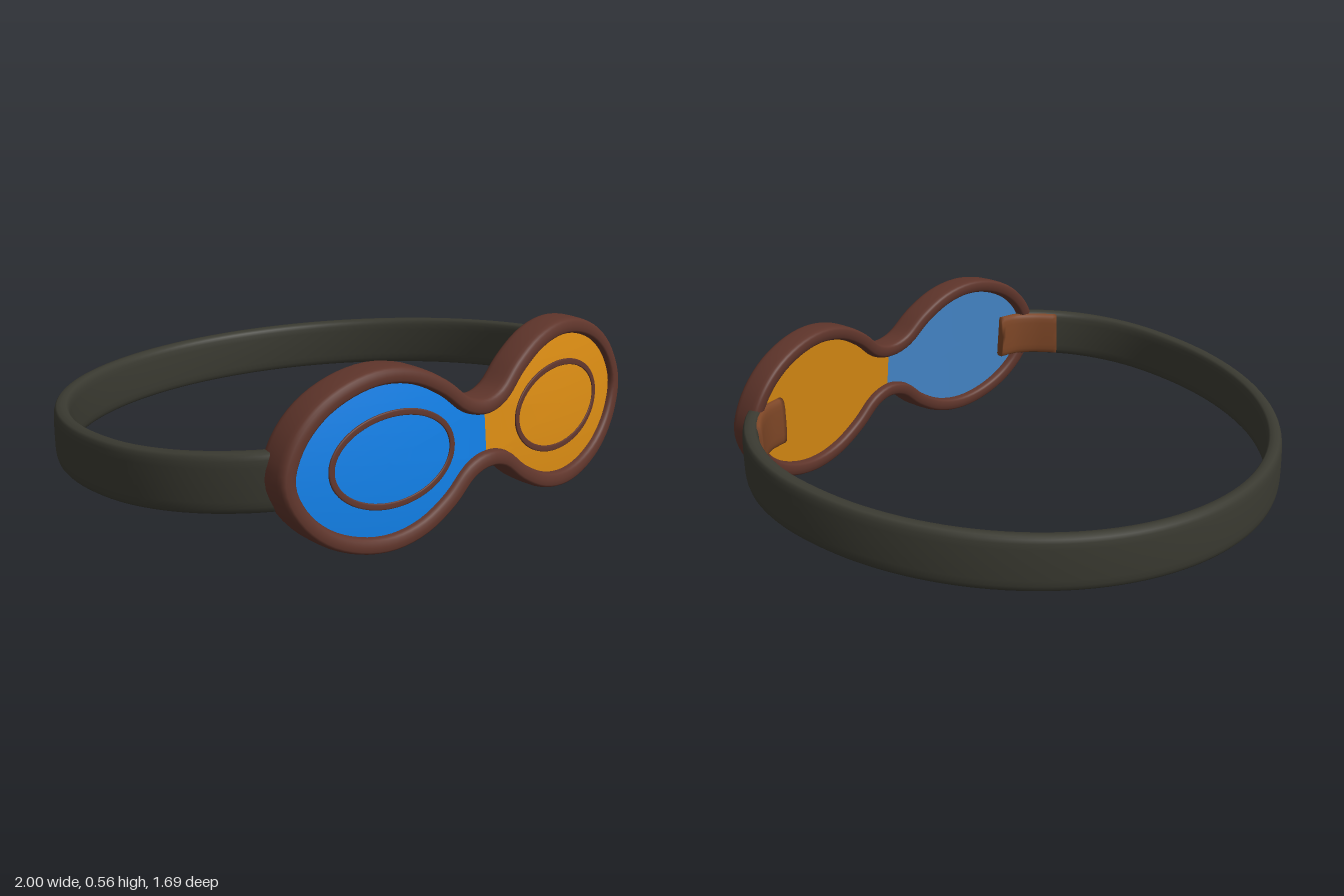
import * as THREE from 'three';

const CY = 0.28; // height of the lens centres
const V = (x, y, z = 0) => new THREE.Vector3(x, y, z);
const mat = (name, color, side = THREE.FrontSide) => {
  const m = new THREE.MeshStandardMaterial({ color, side });
  m.name = name;
  return m;
};

// The mask is wrapped towards the temples and leans back at the top
const faceZ = (x, y) => 0.78 - 0.04 * Math.abs(x) - 0.09 * x * x - 0.11 * (y - CY);
// Slight outward bulge of each lens front
const frontOffset = (x, y) =>
  0.03 + 0.015 * Math.max(0, 1 - ((Math.abs(x) - 0.4) / 0.35) ** 2 - ((y - CY) / 0.25) ** 2);
const backOffset = () => -0.025;

// Rounded-rectangle cross-section of half sizes a, b
function section(a, b, n = 20, power = 0.55) {
  return Array.from({ length: n }, (_, i) => {
    const t = (i / n) * Math.PI * 2, c = Math.cos(t), s = Math.sin(t);
    return [a * Math.sign(c) * Math.abs(c) ** power, b * Math.sign(s) * Math.abs(s) ** power];
  });
}

function makeGeometry(points, index) {
  const g = new THREE.BufferGeometry();
  g.setAttribute('position', new THREE.Float32BufferAttribute(points.flatMap(p => [p.x, p.y, p.z]), 3));
  g.setIndex(index);
  g.computeVertexNormals();
  return g;
}

// Skin a row of rings; the winding is flipped if it would face inwards
function loft(rings, closed) {
  const n = rings[0].length, m = rings.length, points = rings.flat(), index = [];
  for (let i = 0; i < (closed ? m : m - 1); i++) {
    for (let j = 0; j < n; j++) {
      const a = i * n + j, b = i * n + (j + 1) % n;
      const c = ((i + 1) % m) * n + j, d = ((i + 1) % m) * n + (j + 1) % n;
      index.push(a, b, c, b, d, c);
    }
  }
  if (!closed) {
    const last = (m - 1) * n;
    for (let j = 1; j < n - 1; j++) index.push(0, j + 1, j, last, last + j, last + j + 1);
  }
  let volume = 0;
  const cross = new THREE.Vector3();
  for (let i = 0; i < index.length; i += 3) {
    cross.crossVectors(points[index[i + 1]], points[index[i + 2]]);
    volume += points[index[i]].dot(cross);
  }
  if (volume < 0) index.reverse();
  return makeGeometry(points, index);
}

// Sweep a section round a closed outline lying on the curved face
function faceBand(outline, halfWidth, halfDepth, offset) {
  const n = outline.length, profile = section(halfWidth, halfDepth);
  return loft(outline.map((p, i) => {
    const t = outline[(i + 1) % n].clone().sub(outline[(i + n - 1) % n]).normalize();
    return profile.map(([w, d]) => {
      const x = p.x + t.y * w, y = p.y - t.x * w;
      return V(x, y, faceZ(x, y) + offset(p.x, p.y) + d);
    });
  }), true);
}

// Sweep an upright band along a path in plan; it slopes down to the back
function strapBand(path, count, halfThick, halfHeight) {
  const curve = new THREE.CatmullRomCurve3(path), profile = section(halfThick, halfHeight, 20, 0.5);
  return loft(curve.getSpacedPoints(count).map((p, i) => {
    const t = curve.getTangentAt(i / count);
    const y = 0.122 + (p.z + 0.81) * 0.1;
    return profile.map(([w, h]) => V(p.x + t.z * w, y + h, p.z - t.x * w));
  }), false);
}

// Fan of rings filling one half of the outline
function lensSurface(half, side, offset, flip) {
  const rings = 10, n = half.length, points = [], index = [];
  for (let r = 0; r <= rings; r++) {
    for (const p of half) {
      const k = r / rings;
      const x = side * (0.4 + (p.x - 0.4) * k), y = CY + (p.y - CY) * k;
      points.push(V(x, y, faceZ(x, y) + offset(x, y)));
    }
  }
  for (let r = 0; r < rings; r++) {
    for (let j = 0; j < n; j++) {
      const a = r * n + j, b = r * n + (j + 1) % n, c = a + n, d = b + n;
      if (r > 0) index.push(a, c, b);
      index.push(b, c, d);
    }
  }
  if (flip) index.reverse();
  return makeGeometry(points, index);
}

export function createModel() {
  const group = new THREE.Group();
  const brown = mat('rim brown', 0x5f352b);
  const tan = mat('anchor brown', 0x7d4626);
  const dark = mat('strap dark olive', 0x3a3a31);
  const blue = mat('lens blue', 0x117fe6);
  const paleBlue = mat('lens back blue', 0x4689cc);
  const orange = mat('lens orange', 0xd98b13);

  const add = (name, geometry, material) => {
    const mesh = new THREE.Mesh(geometry, material);
    mesh.name = name;
    group.add(mesh);
  };

  // Figure-eight centre line of the rim: x and half height
  const lobe = [[0, 0.085], [0.08, 0.105], [0.17, 0.175], [0.28, 0.232], [0.4, 0.253],
    [0.52, 0.235], [0.63, 0.183], [0.71, 0.1], [0.745, 0]];
  const right = [
    ...lobe.map(([x, h]) => V(x, CY - h)),
    ...lobe.slice(0, -1).reverse().map(([x, h]) => V(x, CY + h)),
  ];
  const left = right.slice(1, -1).reverse().map(p => V(-p.x, p.y));
  const curve = new THREE.CatmullRomCurve3([...right, ...left], true);
  const outline = Array.from({ length: 128 }, (_, i) => curve.getPoint(i / 128));
  add('rim', faceBand(outline, 0.027, 0.056, () => 0), brown);

  // Lenses, the oval trims on them and the strap anchors behind
  const half = outline.slice(0, 65);
  for (const side of [1, -1]) {
    const name = side > 0 ? 'left' : 'right';
    add(name + 'LensFront', lensSurface(half, side, frontOffset, side < 0), side > 0 ? orange : blue);
    add(name + 'LensBack', lensSurface(half, side, backOffset, side > 0), side > 0 ? orange : paleBlue);

    const oval = Array.from({ length: 64 }, (_, i) => {
      const t = (i / 64) * Math.PI * 2;
      return V(side * 0.376 + 0.225 * Math.cos(t), CY + 0.138 * Math.sin(t));
    });
    add(name + 'LensTrim', faceBand(oval, 0.01, 0.0045, frontOffset), brown);

    const anchor = [[0.82, 0.56], [0.745, 0.635], [0.68, 0.675], [0.6, 0.69]];
    add(name + 'StrapAnchor', strapBand(anchor.map(([x, z]) => V(side * x, 0, z)), 16, 0.022, 0.086), tan);
  }

  // Head strap: round at the back, turning in to the rim at the front
  const strapSide = [[0.70, 0.685], [0.76, 0.645], [0.85, 0.55], [0.92, 0.43], [0.962, 0.29]];
  const path = strapSide.map(([x, z]) => V(x, 0, z));
  for (let i = 0; i <= 16; i++) {
    const t = (i / 16) * Math.PI;
    path.push(V(0.972 * Math.cos(t), 0, 0.155 - 0.972 * Math.sin(t)));
  }
  path.push(...strapSide.slice().reverse().map(([x, z]) => V(-x, 0, z)));
  add('strap', strapBand(path, 96, 0.028, 0.093), dark);

  return group;
}
